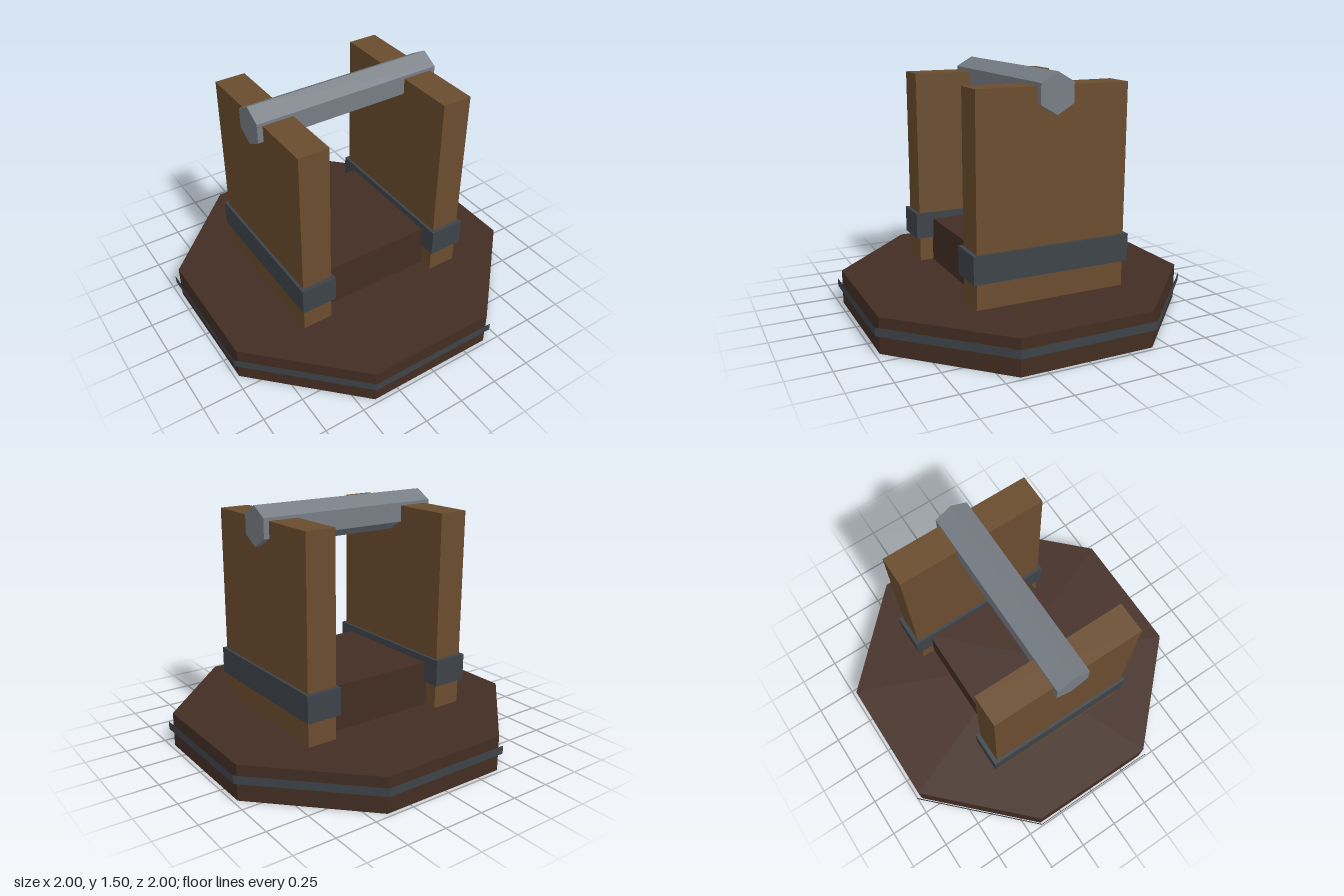
import * as THREE from 'three';

const mat = (name, color) => {
  const m = new THREE.MeshStandardMaterial({ color, flatShading: true });
  m.name = name;
  return m;
};

export function createModel() {
  const darkWood = mat('dark wood', 0x432d23);
  const wood = mat('wood', 0x6a4c2d);
  const iron = mat('dark iron', 0x3d4349);
  const steel = mat('steel', 0x777d85);

  const model = new THREE.Group();
  model.name = 'stand';
  const add = (name, geometry, material, x, y, z) => {
    const mesh = new THREE.Mesh(geometry, material);
    mesh.name = name;
    mesh.position.set(x, y, z);
    model.add(mesh);
  };
  // Box given by its width, bottom, top and depth
  const box = (name, material, x, w, y0, y1, d) =>
    add(name, new THREE.BoxGeometry(w, y1 - y0, d), material, x, (y0 + y1) / 2, 0);
  // Eight-sided prism given by its half width across the flats
  const octagon = (halfWidth, h, open) => {
    const r = halfWidth / Math.cos(Math.PI / 8);
    return new THREE.CylinderGeometry(r, r, h, 8, 1, open).rotateY(Math.PI / 8);
  };

  // Base with an open iron hoop around it
  add('base', octagon(0.975, 0.214, false), darkWood, 0, 0.107, 0);
  add('baseHoop', octagon(1, 0.05, true), iron, 0, 0.138, 0);

  // Block between the uprights
  box('centreBlock', darkWood, 0, 0.75, 0.2, 0.492, 0.757);

  // Uprights with iron straps
  for (const [side, s] of [['left', 1], ['right', -1]]) {
    box(side + 'Upright', wood, s * 0.465, 0.186, 0.2, 1.422, 0.93);
    box(side + 'Strap', iron, s * 0.465, 0.22, 0.368, 0.533, 0.98);
  }

  // Hexagonal crossbar, corner upwards
  const bar = new THREE.CylinderGeometry(0.117, 0.117, 1.184, 6)
    .rotateY(Math.PI / 6).rotateZ(Math.PI / 2);
  add('crossbar', bar, steel, 0, 1.382, 0);

  return model;
}
